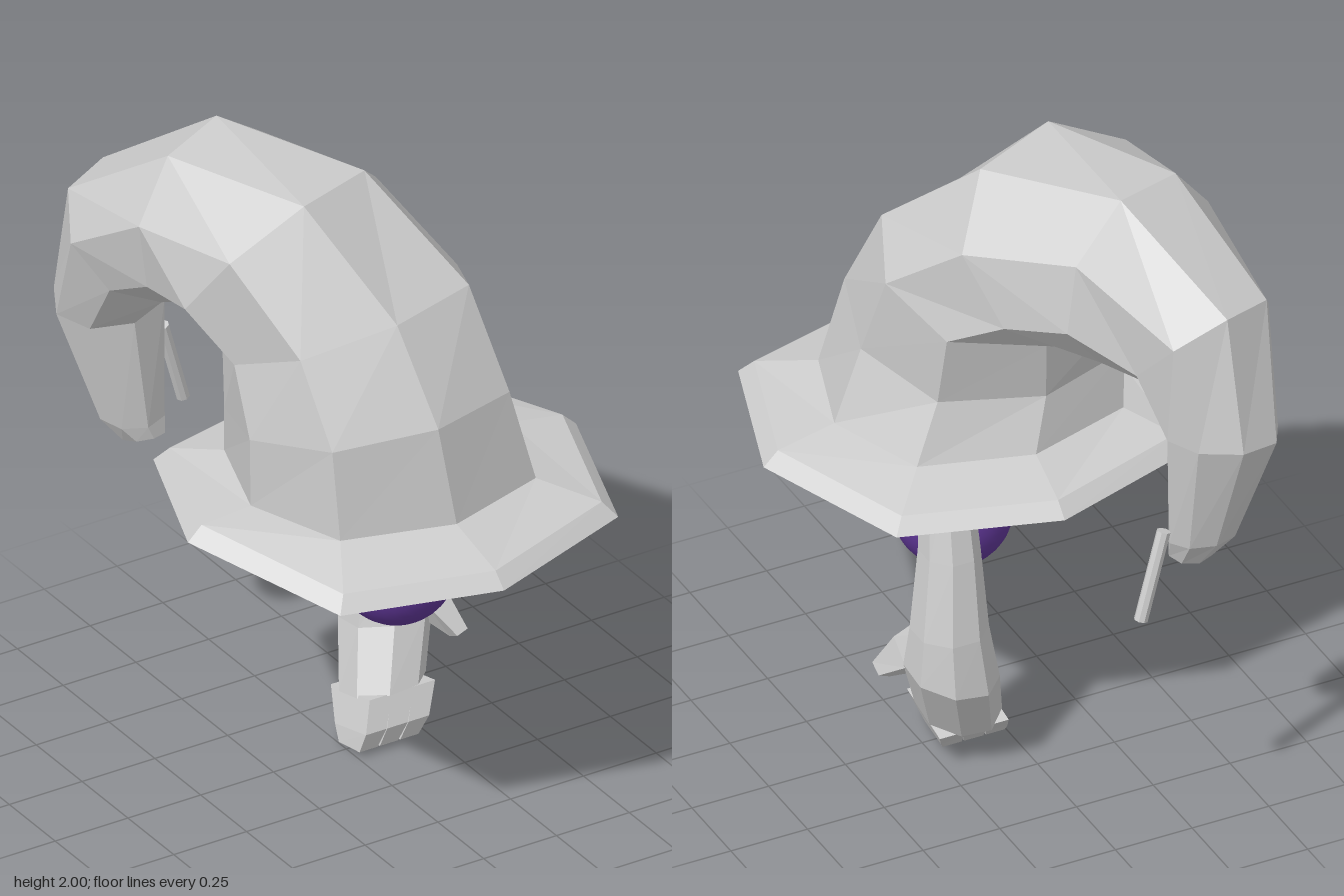
import * as THREE from 'three';

const V = (p) => new THREE.Vector3(...p);

// ring of n points: centre c, half axes a and b; odd points scaled by flat
function ring(c, a, b, n = 8, phase = 0, flat = 1) {
  return Array.from({ length: n }, (_, i) => {
    const t = phase + (i / n) * Math.PI * 2;
    const s = i % 2 ? flat : 1;
    return V(c).addScaledVector(V(a), s * Math.cos(t)).addScaledVector(V(b), s * Math.sin(t));
  });
}

// flat-faced skin over a list of rings, with optional end caps
function loft(rings, capStart, capEnd) {
  const pos = [];
  const tri = (...ps) => ps.forEach((p) => pos.push(p.x, p.y, p.z));
  const n = rings[0].length;
  for (let i = 0; i < rings.length - 1; i++) {
    for (let j = 0; j < n; j++) {
      const k = (j + 1) % n, lo = rings[i], hi = rings[i + 1];
      tri(lo[j], lo[k], hi[k]);
      tri(lo[j], hi[k], hi[j]);
    }
  }
  const first = rings[0], last = rings[rings.length - 1];
  for (let j = 1; j < n - 1; j++) {
    if (capStart) tri(first[0], first[j + 1], first[j]);
    if (capEnd) tri(last[0], last[j], last[j + 1]);
  }
  const g = new THREE.BufferGeometry();
  g.setAttribute('position', new THREE.Float32BufferAttribute(pos, 3));
  g.computeVertexNormals();
  return g;
}

export function createModel() {
  const group = new THREE.Group();
  const grey = new THREE.MeshStandardMaterial({ color: 0xcccccc });
  grey.name = 'light grey';
  const cloth = new THREE.MeshStandardMaterial({ color: 0xcccccc, side: THREE.DoubleSide });
  cloth.name = 'light grey cloth';
  const purple = new THREE.MeshStandardMaterial({ color: 0x5f3696 });
  purple.name = 'purple';
  const add = (name, geometry, material, parent = group) => {
    const m = new THREE.Mesh(geometry, material);
    m.name = name;
    parent.add(m);
    return m;
  };

  // drooping hat crown: centre, outer axis, side axis of each ring; squarer near the brim
  const crown = [
    [[-0.01, 1.06, 0.2], [0.34, 0, 0.31], [0.335, 0, -0.315]],
    [[-0.055, 1.29, 0.2], [0.32, 0.06, 0.27], [0.295, -0.05, -0.28]],
    [[-0.065, 1.53, 0.1], [0.285, 0.12, 0.22], [0.3, -0.05, -0.23]],
    [[-0.17, 1.71, -0.09], [0.22, 0.23, 0.11], [0.3, -0.12, -0.2]],
    [[-0.27, 1.725, -0.36], [0.07, 0.275, -0.03], [0.285, -0.08, -0.11]],
    [[-0.37, 1.575, -0.58], [0.0, 0.165, -0.16], [0.23, -0.04, -0.03]],
    [[-0.38, 1.31, -0.69], [0.01, 0.02, -0.155], [0.175, 0.02, 0.01]],
    [[-0.34, 0.935, -0.635], [0, 0.015, -0.095], [0.105, 0, 0]],
    [[-0.32, 0.865, -0.6], [0, -0.012, -0.06], [0.07, 0, 0]],
  ].map((r, i) => ring(...r, 8, 0, i < 3 ? 0.935 : 1));
  add('hatCrown', loft(crown, false, true), cloth);

  // wavy octagonal brim with a turned-down edge
  const edge = [
    [0.5, 0.965, 0.69], [0.67, 0.98, 0.19], [0.48, 0.965, -0.29], [0, 0.96, -0.425],
    [-0.48, 0.98, -0.29], [-0.67, 1.0, 0.2], [-0.48, 0.955, 0.73], [0.01, 0.945, 0.845],
  ].map(V);
  const rim = edge.map((p) => new THREE.Vector3(p.x * 0.93, p.y + 0.045, 0.2 + (p.z - 0.2) * 0.93));
  add('hatBrim', loft([edge, rim, crown[0]], false, false), cloth);

  // ball
  const ball = add('ball', new THREE.SphereGeometry(0.18, 32, 24), purple);
  ball.position.set(0.07, 0.68, 0.16);

  // forearm and palm, from the top down to the tilted knuckles
  const hand = new THREE.Group();
  hand.name = 'hand';
  group.add(hand);
  const arm = [
    [[0.215, 1.03, -0.08], [0.07, 0, 0], [0, 0, 0.07]],
    [[0.225, 0.75, -0.125], [0.09, 0, 0], [0, 0, 0.1]],
    [[0.24, 0.5, -0.155], [0.115, 0, 0], [0, 0, 0.12]],
    [[0.23, 0.34, -0.15], [0.14, 0.02, 0], [0, 0.02, 0.145]],
    [[0.165, 0.145, -0.065], [0.128, 0.01, 0], [0, 0.03, 0.128]],
  ].map((r) => ring(...r, 8, Math.PI / 8));
  add('arm', loft(arm, true, true), grey, hand);

  // three short fingers tapering on from the palm
  for (let i = 0; i < 3; i++) {
    const finger = [
      [[0.09 + 0.074 * i, 0.145, -0.06], [0.054, 0, 0], [0, 0.035, 0.15]],
      [[0.05 + 0.073 * i, 0.062, 0.0], [0.05, 0, 0], [0, 0.03, 0.12]],
      [[0.035 + 0.07 * i, 0.01, 0.01], [0.044, 0, 0], [0, 0.014, 0.08]],
    ].map((r) => ring(...r, 4, Math.PI / 4));
    add('finger', loft(finger, true, true), grey, hand);
  }

  // thumb
  const thumb = [
    [[0.285, 0.5, -0.12], [0.03, 0, 0], [0, 0.02, 0.03]],
    [[0.32, 0.375, -0.065], [0.05, 0.02, 0], [0, 0.045, 0.055]],
    [[0.375, 0.285, 0.018], [0.025, 0.01, 0], [0, 0.015, 0.03]],
  ].map((r) => ring(...r, 4, Math.PI / 4));
  add('thumb', loft(thumb, true, true), grey, hand);

  // small stick hanging by the hat tip
  const top = V([-0.145, 1.09, -0.775]), bottom = V([-0.06, 0.815, -0.795]);
  const dir = top.clone().sub(bottom);
  const stickGeo = new THREE.CylinderGeometry(0.021, 0.021, dir.length(), 8).toNonIndexed();
  stickGeo.computeVertexNormals();
  const stick = add('stick', stickGeo, grey);
  stick.position.copy(top).add(bottom).multiplyScalar(0.5);
  stick.quaternion.setFromUnitVectors(new THREE.Vector3(0, 1, 0), dir.normalize());

  return group;
}
